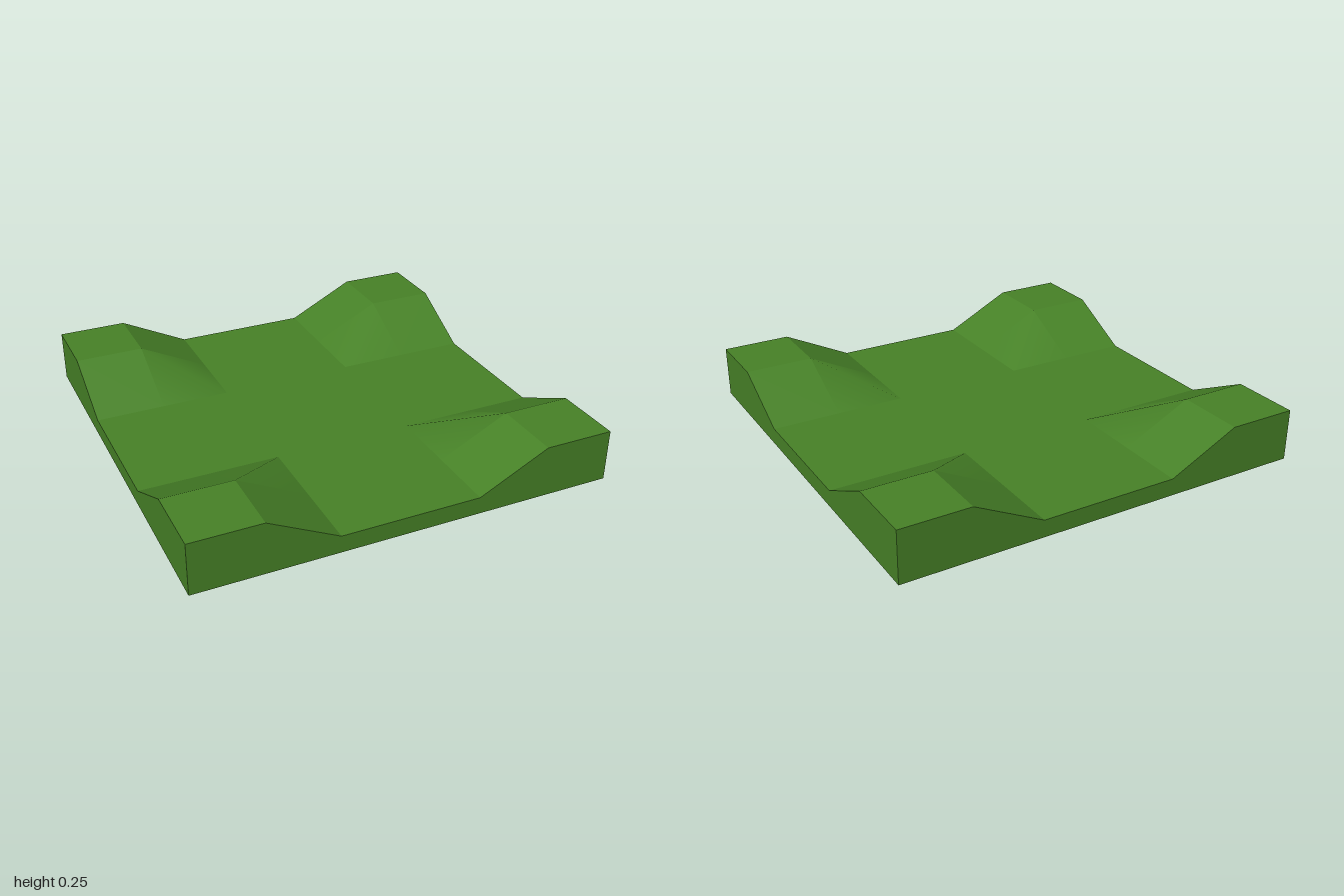
import * as THREE from 'three';

const LOW = 1 / 12, HIGH = 0.25;      // heights of the path and the hills
const A = 1 / 3, B = 2 / 3, C = 1;    // slope foot, slope top, outer edge

// One corner hill in the +x +z quadrant: plateau, two ramps, a blended hip and outer walls
function hillGeometry() {
  const positions = [], normals = [];
  const face = (points, faceNormals) => {
    for (let i = 1; i < points.length - 1; i++) {
      for (const k of [0, i, i + 1]) {
        positions.push(...points[k]);
        const n = new THREE.Vector3(...(faceNormals[k] || faceNormals[0])).normalize();
        normals.push(n.x, n.y, n.z);
      }
    }
  };
  const up = [0, 1, 0], rampX = [-0.5, 1, 0], rampZ = [0, 1, -0.5], hip = [-0.25, 1, -0.25];
  const foot = [A, LOW, A], peak = [B, HIGH, B];

  // plateau
  face([peak, [B, HIGH, C], [C, HIGH, C], [C, HIGH, B]], [up]);
  // straight ramps
  face([[A, LOW, B], [A, LOW, C], [B, HIGH, C], peak], [rampX]);
  face([[B, LOW, A], peak, [C, HIGH, B], [C, LOW, A]], [rampZ]);
  // hip where the ramps meet, softly shaded across the diagonal
  face([foot, peak, [B, LOW, A]], [hip, hip, rampZ]);
  face([foot, [A, LOW, B], peak], [hip, rampX, hip]);
  // outer walls
  face([[A, LOW, C], [C, LOW, C], [C, HIGH, C], [B, HIGH, C]], [[0, 0, 1]]);
  face([[C, LOW, C], [C, LOW, A], [C, HIGH, B], [C, HIGH, C]], [[1, 0, 0]]);

  const geometry = new THREE.BufferGeometry();
  geometry.setAttribute('position', new THREE.Float32BufferAttribute(positions, 3));
  geometry.setAttribute('normal', new THREE.Float32BufferAttribute(normals, 3));
  return geometry;
}

export function createModel() {
  const model = new THREE.Group();
  model.name = 'grassTile';
  const grass = new THREE.MeshStandardMaterial({ color: 0x478227 });
  grass.name = 'grass green';

  // flat ground slab
  const ground = new THREE.Mesh(new THREE.BoxGeometry(2, LOW, 2), grass);
  ground.name = 'ground';
  ground.position.y = LOW / 2;
  model.add(ground);

  // a hill on every corner
  const geometry = hillGeometry();
  ['frontLeftHill', 'backLeftHill', 'backRightHill', 'frontRightHill'].forEach((name, i) => {
    const hill = new THREE.Mesh(geometry, grass);
    hill.name = name;
    hill.rotation.y = i * Math.PI / 2;
    model.add(hill);
  });
  return model;
}
